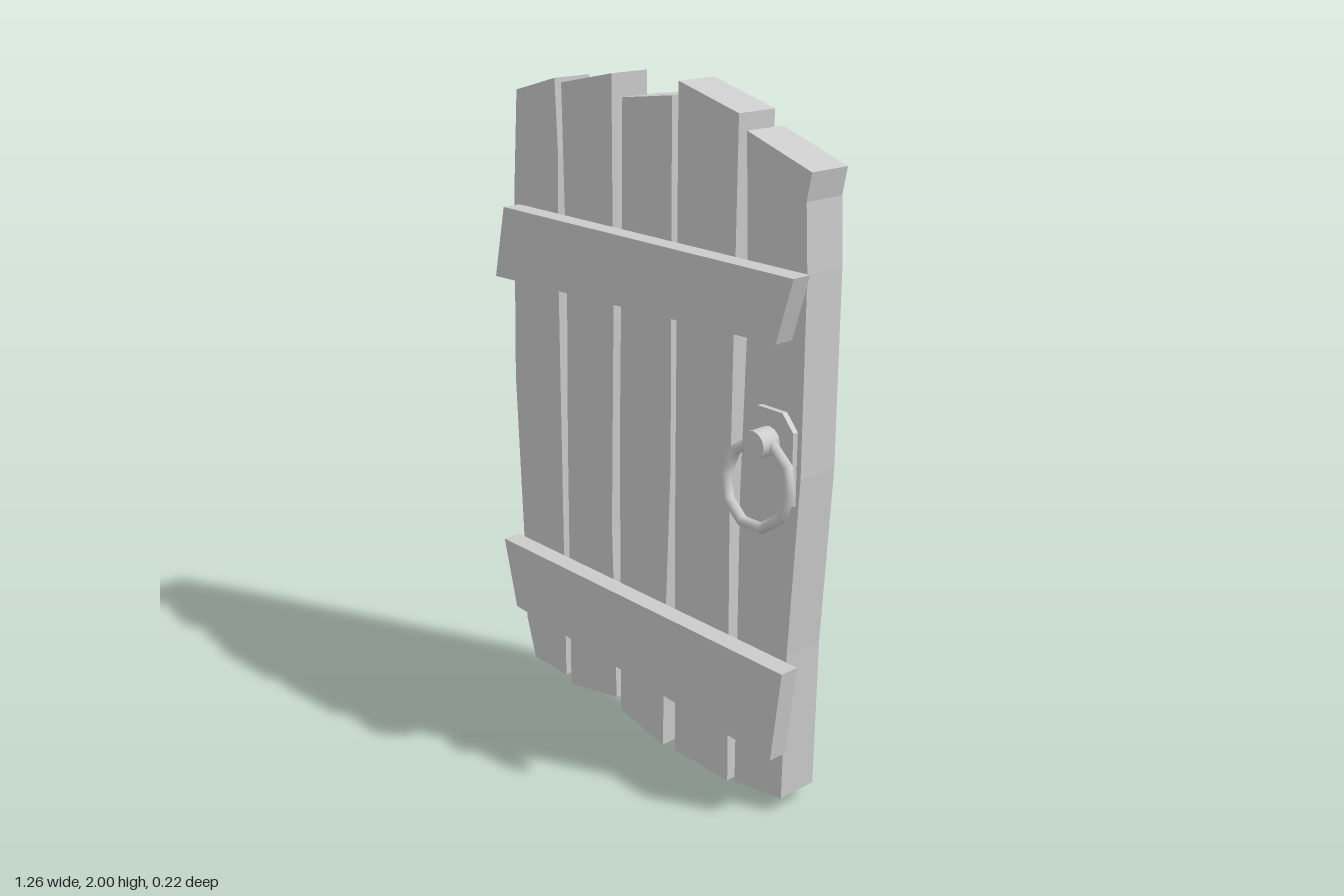
import * as THREE from 'three';

const material = new THREE.MeshStandardMaterial({ color: 0xcccccc });
const flatMaterial = new THREE.MeshStandardMaterial({ color: 0xcccccc, flatShading: true });

// Straight-edged board: an outline (counter-clockwise) extruded from zBack to zFront
function board(name, outline, zBack, zFront) {
  const shape = new THREE.Shape(outline.map(([x, y]) => new THREE.Vector2(x, y)));
  const geometry = new THREE.ExtrudeGeometry(shape, { depth: zFront - zBack, bevelEnabled: false });
  geometry.translate(0, 0, zBack);
  const mesh = new THREE.Mesh(geometry, flatMaterial);
  mesh.name = name;
  return mesh;
}

// Uneven plank outlines, from the bottom left corner round
const PLANKS = [
  [[-0.56, 0.06], [-0.4, 0.06], [-0.4, 1.4], [-0.39, 1.74], [-0.4, 1.96], [-0.58, 1.91],
    [-0.605, 1.6], [-0.625, 1.02], [-0.605, 0.5], [-0.6, 0.19]],
  [[-0.375, 0.035], [-0.15, 0.08], [-0.165, 0.65], [-0.15, 1.3], [-0.15, 1.995], [-0.37, 1.95],
    [-0.36, 1.35], [-0.37, 0.87]],
  [[-0.13, 0.045], [0.065, 0.005], [0.07, 0.3], [0.095, 0.92], [0.095, 1.96], [-0.105, 1.935],
    [-0.11, 1.6], [-0.125, 0.97]],
  [[0.12, 0.01], [0.345, 0.01], [0.335, 0.9], [0.345, 1.94], [0.12, 2], [0.115, 0.8]],
  [[0.375, 0.02], [0.56, 0.05], [0.565, 0.5], [0.595, 1.02], [0.595, 1.57], [0.585, 1.75],
    [0.6, 1.825], [0.375, 1.9], [0.39, 1.4], [0.375, 0.92]],
];

const BATTENS = {
  upperBatten: [[-0.63, 1.35], [0.55, 1.39], [0.605, 1.57], [-0.58, 1.57]],
  lowerBatten: [[-0.575, 0.26], [0.57, 0.2], [0.605, 0.48], [-0.63, 0.48]],
};

export function createModel() {
  const door = new THREE.Group();
  door.name = 'plankDoor';

  // Upright planks
  PLANKS.forEach((outline, i) => door.add(board(`plank${i + 1}`, outline, -0.11, 0.02)));

  // Worn back edge at the widest point of the outer plank
  const outer = door.children[0].geometry;
  const p = outer.attributes.position;
  for (let i = 0; i < p.count; i++) {
    if (p.getX(i) < -0.615 && p.getZ(i) < 0) p.setZ(i, -0.085);
  }
  outer.computeVertexNormals();

  // Cross battens on the front
  for (const [name, outline] of Object.entries(BATTENS)) {
    door.add(board(name, outline, 0.02, 0.08));
  }

  // Handle: octagonal plate, peg and hanging ring
  const handle = new THREE.Group();
  handle.name = 'handle';
  handle.position.x = 0.495;
  handle.add(board('handlePlate', [[-0.045, 0.9], [0.045, 0.9], [0.085, 0.945], [0.085, 1.15],
    [0.045, 1.195], [-0.045, 1.195], [-0.085, 1.15], [-0.085, 0.945]], 0.02, 0.037));

  const peg = new THREE.Mesh(new THREE.CylinderGeometry(0.039, 0.039, 0.065, 12), material);
  peg.name = 'handlePeg';
  peg.rotation.x = Math.PI / 2;
  peg.position.set(0, 1.11, 0.065);
  handle.add(peg);

  const ring = new THREE.Mesh(new THREE.TorusGeometry(0.117, 0.016, 8, 10), material);
  ring.name = 'handleRing';
  ring.rotation.x = -0.16;
  ring.position.set(0, 0.997, 0.077);
  handle.add(ring);

  door.add(handle);
  return door;
}
